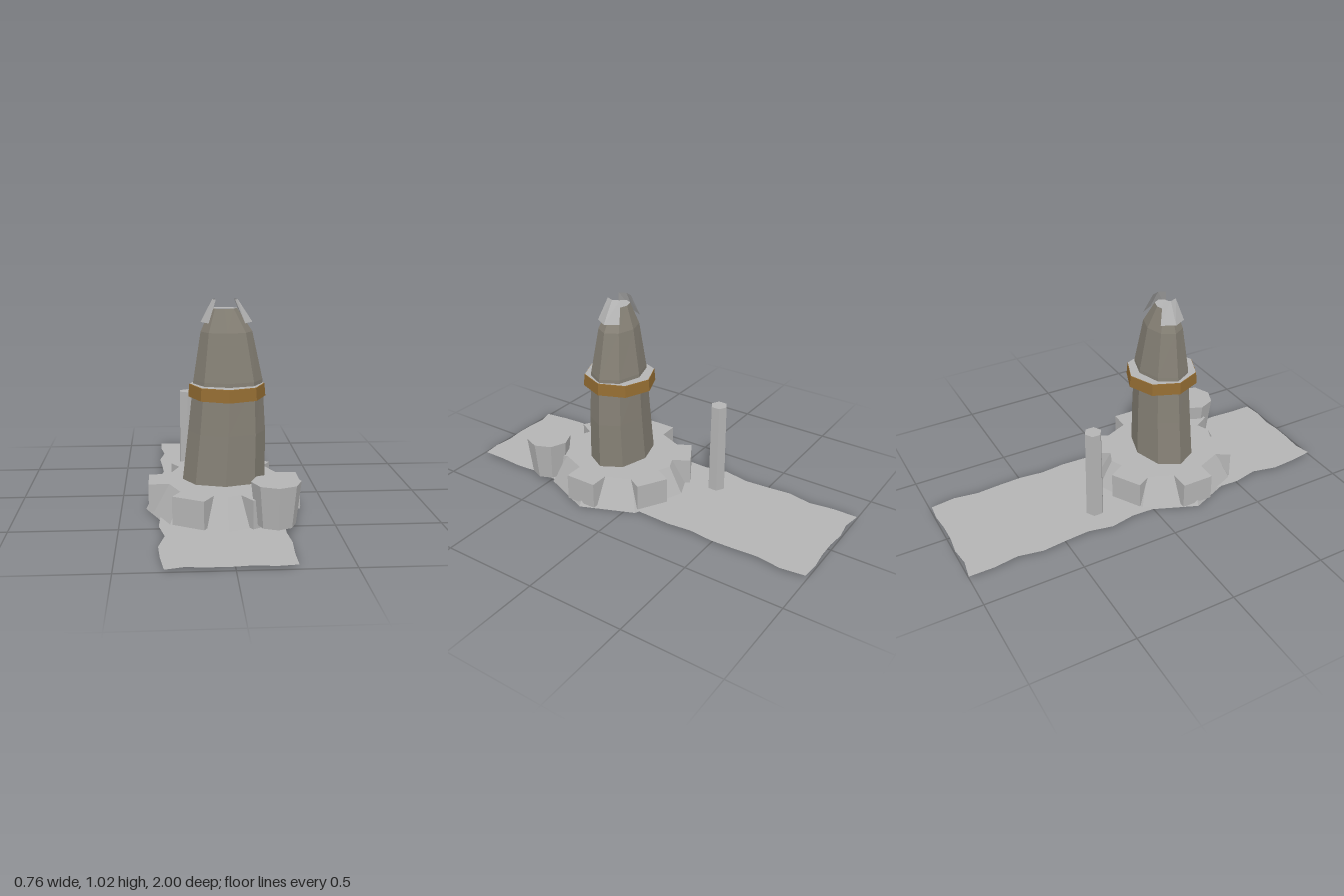
import * as THREE from 'three';

const flat = (color, name, side = THREE.FrontSide) => {
  const m = new THREE.MeshStandardMaterial({ color, flatShading: true, side });
  m.name = name;
  return m;
};

export function createModel() {
  const model = new THREE.Group();
  model.name = 'towerScene';
  const stone = flat(0xb4b4b4, 'lightStone', THREE.DoubleSide);
  const dark = flat(0x858075, 'darkStone');
  const bronze = flat(0x936c32, 'bronze');
  const cz = 0.215; // tower axis

  const add = (name, geometry, material, x = 0, y = 0, z = 0, parent = model) => {
    const mesh = new THREE.Mesh(geometry, material);
    mesh.name = name;
    mesh.position.set(x, y, z);
    parent.add(mesh);
    return mesh;
  };

  // Ragged ground strip
  const wobble = (i, s) => 0.011 * Math.sin(i * 2.3 + s) + 0.006 * Math.sin(i * 4.1 + s * 2);
  const n = 16;
  const outline = [];
  for (let i = 0; i <= n; i++) outline.push(new THREE.Vector2(-0.306 + wobble(i, 1), -1 + (2 * i) / n));
  for (let i = 1; i < 6; i++) outline.push(new THREE.Vector2(-0.306 + i * 0.095, 0.99 + 0.4 * wobble(i, 3)));
  for (let i = n; i >= 0; i--) outline.push(new THREE.Vector2(0.262 + wobble(i, 4), -0.98 + (1.97 * i) / n));
  for (let i = 5; i > 0; i--) outline.push(new THREE.Vector2(-0.306 + i * 0.095, -0.985 + 0.4 * wobble(i, 5)));
  add('groundStrip', new THREE.ShapeGeometry(new THREE.Shape(outline)).rotateX(-Math.PI / 2), stone, 0, 0.012, 0);

  // Octagonal plinth with six block teeth
  const base = new THREE.Group();
  base.name = 'base';
  base.position.z = cz;
  model.add(base);
  add('plinth', new THREE.CylinderGeometry(0.3, 0.38, 0.15, 8), stone, 0, 0.075, 0, base);
  for (let i = 0; i < 6; i++) {
    const tooth = new THREE.BoxGeometry(0.165, 0.135, 0.165).translate(0.2825, 0, 0).rotateY((i * Math.PI) / 3);
    add('baseTooth', tooth, stone, 0, 0.0825, 0, base);
  }

  // Tapering oval tower: rows of [y, centre x, radius x, radius z], top first
  const rows = [
    [0.98, 0, 0.062, 0.043],
    [0.87, 0.0125, 0.1225, 0.088],
    [0.64, 0.02, 0.165, 0.125],
    [0.39, 0.014, 0.186, 0.136],
    [0.145, 0, 0.2, 0.146],
  ];
  const body = new THREE.CylinderGeometry(1, 1, 1, 8, rows.length - 1, true);
  const p = body.attributes.position;
  for (let i = 0; i < p.count; i++) {
    const [y, cx, rx, rz] = rows[Math.floor(i / 9)];
    p.setXYZ(i, cx + p.getX(i) * rx, y, p.getZ(i) * rz);
  }
  body.computeVertexNormals();
  add('towerBody', body, dark, 0, 0, cz);
  add('towerCap', new THREE.CircleGeometry(1, 8).rotateX(-Math.PI / 2).scale(0.062, 1, 0.043), stone, 0, 0.981, cz);

  // Band around the tower with a stone ledge on top
  add('band', new THREE.CylinderGeometry(0.18, 0.185, 0.06, 8), bronze, 0.015, 0.59, cz);
  add('bandLedge', new THREE.RingGeometry(0.115, 0.178, 8).rotateX(-Math.PI / 2), stone, 0.015, 0.622, cz);

  // Two folded horn plates beside the tip: crease in the middle, edges set inward
  const horn = (name, s, lowOut, lowIn, topOut, topIn) => {
    const g = new THREE.PlaneGeometry(1, 1, 2, 1);
    const a = g.attributes.position;
    for (let i = 0; i < a.count; i++) {
      const top = i < 3, mid = i % 3 === 1;
      const x = top ? (mid ? topOut : topIn) : mid ? lowOut : lowIn;
      a.setXYZ(i, s * x, top ? 1.022 : 0.915, -s * ((i % 3) - 1) * (top ? 0.037 : 0.066));
    }
    g.computeVertexNormals();
    add(name, g, stone, 0, 0, cz);
  };
  horn('leftHorn', 1, 0.135, 0.095, 0.065, 0.05);
  horn('rightHorn', -1, 0.11, 0.075, 0.055, 0.04);

  // Flared stump in front and thin post behind
  add('stump', new THREE.CylinderGeometry(0.115, 0.092, 0.2, 8), stone, 0.217, 0.13, 0.542);
  add('post', new THREE.CylinderGeometry(0.043, 0.047, 0.49, 6), stone, -0.165, 0.245, -0.272);

  return model;
}
